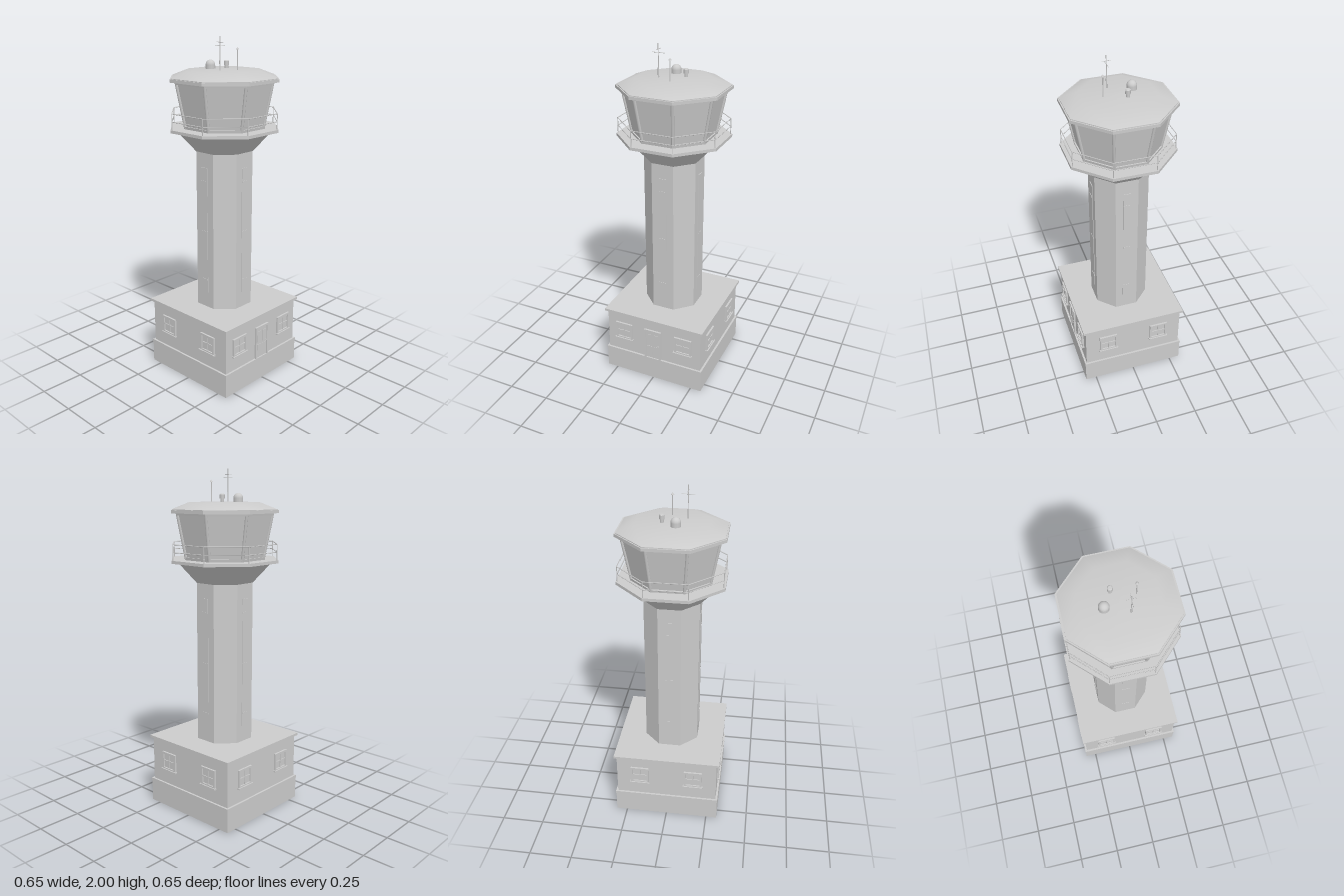
import * as THREE from 'three';

const concrete = new THREE.MeshStandardMaterial({ color: 0xcccccc });
const C8 = Math.cos(Math.PI / 8);

function add(parent, name, geo, x = 0, y = 0, z = 0) {
  const m = new THREE.Mesh(geo, concrete);
  m.name = name;
  m.position.set(x, y, z);
  parent.add(m);
  return m;
}

const box = (parent, name, w, h, d, x, y, z) =>
  add(parent, name, new THREE.BoxGeometry(w, h, d), x, y, z);

// Flat-sided octagonal prism; sizes are half widths across the flats
function octagon(parent, name, bottom, top, y0, y1) {
  const g = new THREE.CylinderGeometry(top / C8, bottom / C8, y1 - y0, 8).toNonIndexed();
  g.computeVertexNormals();
  g.rotateY(Math.PI / 8);
  return add(parent, name, g, 0, (y0 + y1) / 2, 0);
}

// Straight round bar between two points
function bar(parent, name, a, b, r, sides = 6) {
  const d = b.clone().sub(a);
  const m = add(parent, name, new THREE.CylinderGeometry(r, r, d.length(), sides));
  m.position.copy(a).addScaledVector(d, 0.5);
  m.quaternion.setFromUnitVectors(new THREE.Vector3(0, 1, 0), d.normalize());
  return m;
}

const corner = (i, apothem, y) => {
  const t = (i + 0.5) * Math.PI / 4, r = apothem / C8;
  return new THREE.Vector3(Math.sin(t) * r, y, Math.cos(t) * r);
};

// Framed sash window with glazing bars and a sill, set on the wall at z = 0.305
function addWindow(parent, x) {
  const w = new THREE.Group();
  w.name = 'window';
  w.position.set(x, 0.29, 0.305);
  parent.add(w);
  box(w, 'windowPane', 0.09, 0.09, 0.004, 0, 0, 0.001);
  for (const s of [-1, 1]) {
    box(w, 'windowJamb', 0.012, 0.11, 0.012, s * 0.049, 0, 0.005);
    box(w, 'windowRail', 0.086, 0.012, 0.012, 0, s * 0.049, 0.005);
  }
  box(w, 'glazingBarUpright', 0.006, 0.086, 0.007, 0, 0, 0.004);
  box(w, 'glazingBarCross', 0.086, 0.006, 0.007, 0, 0, 0.004);
  box(w, 'windowSill', 0.12, 0.009, 0.019, 0, -0.055, 0.0085);
}

export function createModel() {
  const tower = new THREE.Group();
  tower.name = 'controlTower';

  // Base building
  box(tower, 'plinth', 0.63, 0.145, 0.63, 0, 0.0725, 0);
  box(tower, 'plinthBand', 0.634, 0.018, 0.634, 0, 0.136, 0);
  box(tower, 'baseWalls', 0.61, 0.27, 0.61, 0, 0.277, 0);
  box(tower, 'baseRoof', 0.64, 0.015, 0.64, 0, 0.4175, 0);

  // Windows and stairwell strips on all four sides
  for (let i = 0; i < 4; i++) {
    const side = new THREE.Group();
    side.name = 'side' + (i + 1);
    side.rotation.y = i * Math.PI / 2;
    tower.add(side);
    for (const s of [-1, 1]) addWindow(side, s * (i === 0 ? 0.195 : 0.163));
    box(side, 'shaftStrip', 0.045, 0.76, 0.004, 0, 0.9, 0.161);
    for (const y of [0.6, 0.9, 1.2]) box(side, 'shaftStripBar', 0.045, 0.008, 0.008, 0, y, 0.161);
  }

  // Front door
  const door = new THREE.Group();
  door.name = 'door';
  door.position.set(-0.002, 0.145, 0.305);
  tower.add(door);
  box(door, 'doorLeaf', 0.09, 0.19, 0.006, 0, 0.095, 0.002);
  box(door, 'doorHead', 0.11, 0.012, 0.013, 0, 0.196, 0.005);
  for (const s of [-1, 1]) {
    box(door, 'doorJamb', 0.011, 0.19, 0.013, s * 0.0495, 0.095, 0.005);
    for (const y of [0.05, 0.135]) box(door, 'doorPanel', 0.03, 0.07, 0.004, s * 0.02, y, 0.005);
  }
  add(door, 'doorKnob', new THREE.SphereGeometry(0.005, 8, 6), 0.037, 0.095, 0.01);

  // Shaft and smooth flare beneath the walkway
  octagon(tower, 'shaft', 0.16, 0.16, 0.42, 1.37);
  const flare = new THREE.CylinderGeometry(0.262 / C8, 0.16 / C8, 0.118, 8, 1, true);
  flare.rotateY(Math.PI / 8);
  add(tower, 'flare', flare, 0, 1.424, 0);
  octagon(tower, 'walkway', 0.3, 0.3, 1.48, 1.497);

  // Glazed cab with posts at its corners
  octagon(tower, 'cabGlass', 0.215, 0.264, 1.495, 1.765);
  octagon(tower, 'cabSill', 0.223, 0.226, 1.496, 1.512);
  octagon(tower, 'cabHead', 0.27, 0.273, 1.745, 1.76);
  for (let i = 0; i < 8; i++) {
    bar(tower, 'cabPost', corner(i, 0.216, 1.496), corner(i, 0.265, 1.762), 0.009);
    bar(tower, 'railPost', corner(i, 0.291, 1.495), corner(i, 0.291, 1.588), 0.0025);
    for (const y of [1.542, 1.586])
      bar(tower, 'handrail', corner(i, 0.291, y), corner(i + 1, 0.291, y), 0.0025);
  }

  // Roof: flat rim and smooth crown
  octagon(tower, 'roofRim', 0.298, 0.298, 1.757, 1.774);
  octagon(tower, 'roofEdge', 0.291, 0.291, 1.774, 1.778);
  const crown = new THREE.LatheGeometry(
    [[0.291, 1.777], [0.2, 1.814], [0, 1.818]].map(([a, y]) => new THREE.Vector2(a / C8, y)), 8);
  crown.rotateY(Math.PI / 8);
  add(tower, 'roofCrown', crown);

  // Radar dome
  add(tower, 'domeBase', new THREE.CylinderGeometry(0.028, 0.028, 0.025, 12), -0.025, 1.826, -0.083);
  add(tower, 'dome', new THREE.SphereGeometry(0.028, 12, 6, 0, Math.PI * 2, 0, Math.PI / 2), -0.025, 1.838, -0.083);

  // Beacon
  add(tower, 'beaconStem', new THREE.CylinderGeometry(0.011, 0.011, 0.022, 8), 0.055, 1.825, -0.035);
  add(tower, 'beaconLamp', new THREE.CylinderGeometry(0.015, 0.015, 0.022, 8), 0.055, 1.846, -0.035);
  add(tower, 'beaconCap', new THREE.CylinderGeometry(0.01, 0.015, 0.005, 8), 0.055, 1.859, -0.035);

  // Tall cross aerial and short whip aerial
  const v = (x, y, z) => new THREE.Vector3(x, y, z);
  bar(tower, 'aerialMast', v(-0.075, 1.81, 0.04), v(-0.075, 2, 0.04), 0.0025);
  bar(tower, 'aerialFoot', v(-0.075, 1.81, 0.04), v(-0.075, 1.87, 0.04), 0.004);
  bar(tower, 'aerialCrossWide', v(-0.112, 1.95, 0.04), v(-0.038, 1.95, 0.04), 0.0015);
  bar(tower, 'aerialCrossDeep', v(-0.075, 1.968, 0.015), v(-0.075, 1.968, 0.065), 0.0015);
  bar(tower, 'whipMast', v(0.015, 1.81, 0.087), v(0.015, 1.93, 0.087), 0.003);
  add(tower, 'whipTip', new THREE.ConeGeometry(0.009, 0.014, 8), 0.015, 1.934, 0.087);

  return tower;
}
